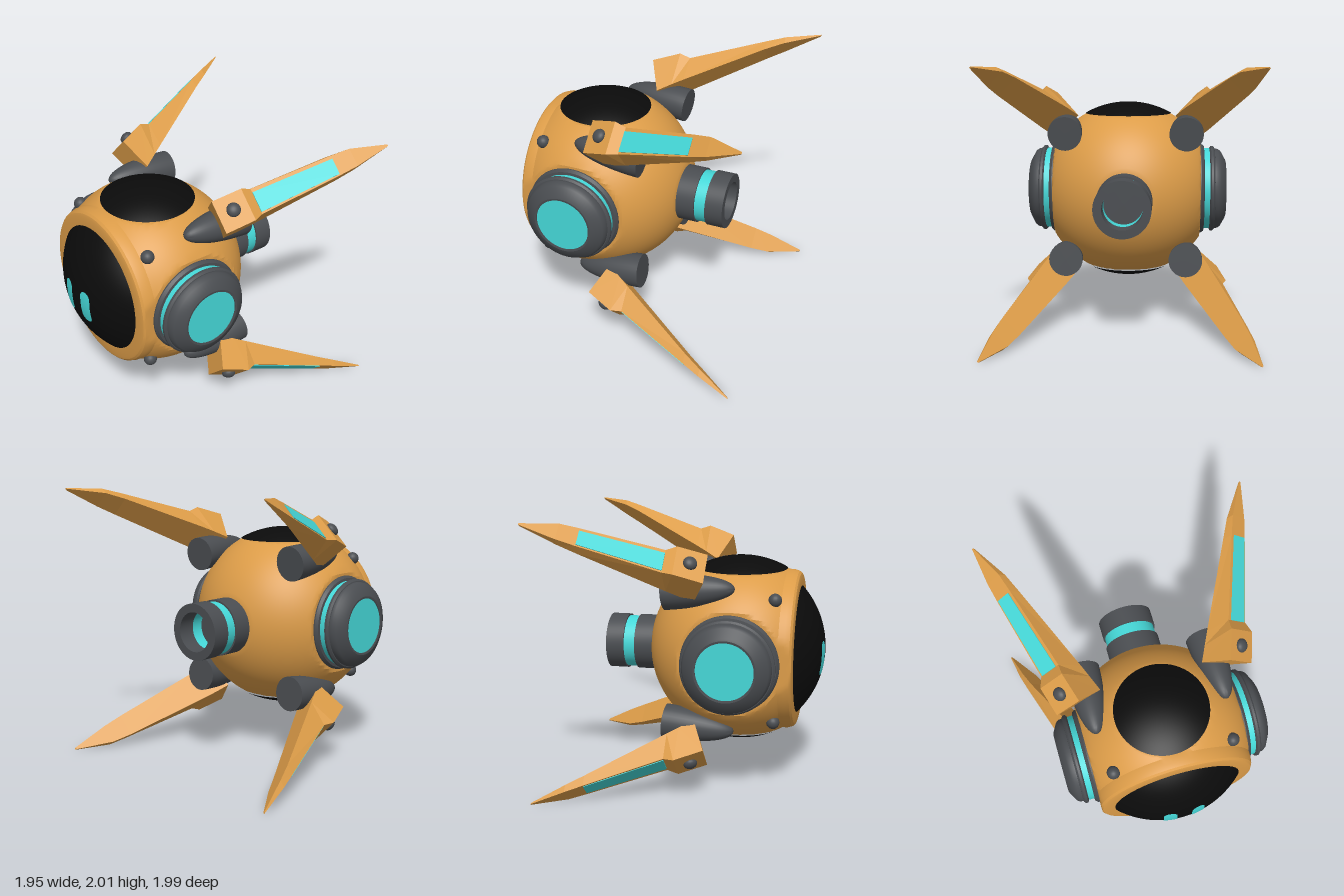
import * as THREE from 'three';
import { toCreasedNormals } from 'three/addons/utils/BufferGeometryUtils.js';

const mat = (name, color) => {
  const m = new THREE.MeshStandardMaterial({ color });
  m.name = name;
  return m;
};
const CZ = 0.36; // body centre, with y = 1

// Surface of revolution about y from [radius, height] points, rising
const lathe = (pts, seg = 64) =>
  toCreasedNormals(new THREE.LatheGeometry(pts.map((p) => new THREE.Vector2(...p)), seg), 0.5);

// Baked reflection, keeping triangles facing outward
function mirrored(geo, sx, sy) {
  const g = geo.index ? geo.toNonIndexed() : geo.clone();
  g.translate(0, -1, 0).scale(sx, sy, 1).translate(0, 1, 0);
  if (sx * sy < 0) {
    for (const a of [g.attributes.position, g.attributes.normal]) {
      for (let i = 0; i < a.count; i += 3) {
        for (let k = 0; k < 3; k++) {
          const t = a.array[(i + 1) * 3 + k];
          a.array[(i + 1) * 3 + k] = a.array[(i + 2) * 3 + k];
          a.array[(i + 2) * 3 + k] = t;
        }
      }
    }
  }
  return g;
}

// Loft of four-sided sections: outer z, outer height, outer half width, then the same for the inner edge
function loft(stations, centre) {
  const pos = [], idx = [];
  stations.forEach(([zo, uo, wo, zi, ui, wi], s) => {
    const c = centre + (s === 5 ? 0.02 : 0);
    pos.push(c + wi, ui, zi, c + wo, uo, zo, c - wo, uo, zo, c - wi, ui, zi);
    if (s === 0) return;
    for (let j = 0; j < 4; j++) {
      const a = (s - 1) * 4 + j, b = (s - 1) * 4 + ((j + 1) % 4);
      idx.push(a, a + 4, b, b, a + 4, b + 4);
    }
  });
  const e = (stations.length - 1) * 4;
  idx.push(0, 1, 2, 0, 2, 3, e, e + 2, e + 1, e, e + 3, e + 2);
  const g = new THREE.BufferGeometry();
  g.setAttribute('position', new THREE.Float32BufferAttribute(pos, 3));
  g.setIndex(idx);
  const flat = g.toNonIndexed();
  flat.computeVertexNormals();
  return flat;
}

export function createModel() {
  const orange = mat('orange shell', 0xdc9c48);
  const cyan = mat('cyan glow', 0x45d8d8);
  const dark = mat('dark grey', 0x4a4d51);
  const black = mat('black glass', 0x0b0b0b);
  const model = new THREE.Group();
  const add = (name, geo, material, parent = model) => {
    const m = new THREE.Mesh(geo, material);
    m.name = name;
    parent.add(m);
    return m;
  };

  // Shell: sphere with a front rim, cut flat at the sides, top and bottom
  const R = 0.685;
  const profile = [[0, -0.65]];
  const a0 = Math.asin(-0.65 / R), a1 = Math.asin(0.34 / R);
  for (let i = 0; i <= 40; i++) {
    const a = a0 + ((a1 - a0) * i) / 40;
    profile.push([R * Math.cos(a), R * Math.sin(a)]);
  }
  profile.push([0.592, 0.385], [0.58, 0.42], [0.565, 0.434], [0.545, 0.44], [0.472, 0.44], [0.47, 0.4]);
  let shell = new THREE.LatheGeometry(profile.map((p) => new THREE.Vector2(...p)), 120);
  shell.rotateX(Math.PI / 2);
  const sp = shell.attributes.position;
  for (let i = 0; i < sp.count; i++) {
    sp.setX(i, THREE.MathUtils.clamp(sp.getX(i), -0.57, 0.57));
    sp.setY(i, THREE.MathUtils.clamp(sp.getY(i), -0.595, 0.595));
  }
  shell = toCreasedNormals(shell, 0.4).translate(0, 1, CZ);
  add('shell', shell, orange);

  // Black domes: face, crown and underside
  const FR = 0.689, FZ = 0.3;
  const dome = (r, open) =>
    new THREE.SphereGeometry(r, 64, 20, 0, Math.PI * 2, 0, Math.asin(open / r));
  add('faceDome', dome(FR, 0.477).rotateX(Math.PI / 2).translate(0, 1, FZ), black);
  const crown = dome(0.688, 0.338).translate(0, 1.003, CZ - 0.004);
  add('crownDome', crown, black);
  add('undersideDome', mirrored(crown, 1, -1), black);

  // Eyes: rounded bars laid on the face dome
  for (const s of [1, -1]) {
    const eye = new THREE.PlaneGeometry(2, 2, 8, 40);
    const p = eye.attributes.position;
    const half = 0.128, r = 0.049;
    for (let i = 0; i < p.count; i++) {
      const y = half * Math.sin((p.getY(i) * Math.PI) / 2);
      const over = Math.max(0, Math.abs(y) - (half - r));
      const x = s * 0.105 + p.getX(i) * Math.sqrt(Math.max(0, r * r - over * over));
      const Y = y - 0.037;
      p.setXYZ(i, x, 1 + Y, FZ + 0.004 + Math.sqrt(FR * FR - x * x - Y * Y));
    }
    eye.computeVertexNormals();
    add(s > 0 ? 'leftEye' : 'rightEye', eye, cyan);
  }

  // Side pods, built outward along x
  const podParts = [
    ['podCollar', [[0, 0.5], [0.35, 0.5], [0.355, 0.56], [0.355, 0.58], [0.34, 0.6], [0.3, 0.605]], dark],
    ['podGlowBand', [[0.32, 0.6], [0.32, 0.65]], cyan],
    ['podRing', [[0.3, 0.642], [0.325, 0.645], [0.338, 0.655], [0.338, 0.672], [0.325, 0.684], [0.3, 0.688]], dark],
    ['podCap', [[0.3, 0.68], [0.318, 0.685], [0.315, 0.71], [0.3, 0.732], [0.235, 0.768], [0.22, 0.774],
      [0.205, 0.772], [0.205, 0.755]], dark],
    ['podLens', [[0.207, 0.755], [0.207, 0.766], [0, 0.766]], cyan],
  ];
  for (const s of [1, -1]) {
    const pod = new THREE.Group();
    pod.name = s > 0 ? 'leftPod' : 'rightPod';
    model.add(pod);
    for (const [name, pts, m] of podParts) {
      add(name, mirrored(lathe(pts).rotateZ(-Math.PI / 2).translate(0, 1, CZ), s, 1), m, pod);
    }
  }

  // Rear thruster, built backward along z, hollow at the end
  const thruster = new THREE.Group();
  thruster.name = 'thruster';
  model.add(thruster);
  [
    ['thrusterBase', [[0.208, 0.25], [0.208, 0.43], [0.19, 0.43]], dark],
    ['thrusterGlowBand', [[0.195, 0.42], [0.195, 0.53]], cyan],
    ['thrusterNozzle', [[0.19, 0.515], [0.208, 0.515], [0.208, 0.65], [0.145, 0.65], [0.145, 0.52]], dark],
    ['thrusterInnerGlow', [[0.145, 0.52], [0.145, 0.43]], cyan],
    ['thrusterFloor', [[0.15, 0.43], [0, 0.43]], dark],
  ].forEach(([name, pts, m]) => add(name, lathe(pts).rotateX(-Math.PI / 2).translate(0, 1, 0), m, thruster));

  // Fin parts for the upper left corner; local y points diagonally outward
  const place = (g) => g.rotateZ(-Math.PI / 4).translate(0, 1, 0);
  const blade = place(loft([
    [0.2, 0.925, 0.12, 0.1, 0.688, 0.12],
    [0.0, 1.015, 0.118, 0.0, 0.757, 0.12],
    [-0.08, 1.0, 0.095, -0.08, 0.81, 0.118],
    [-0.63, 1.243, 0.075, -0.63, 1.17, 0.088],
    [-0.76, 1.3, 0.066, -0.76, 1.248, 0.074],
    [-1.0, 1.396, 0.006, -0.995, 1.385, 0.008],
  ], -0.042));
  const panel = place(loft([
    [-0.08, 1.005, 0.074, -0.08, 0.998, 0.074],
    [-0.63, 1.248, 0.058, -0.63, 1.241, 0.058],
  ], -0.036));
  const stud = place(new THREE.SphereGeometry(0.05, 20, 14).scale(1, 0.7, 1)
    .rotateX(0.42).translate(-0.05, 0.975, 0.1));
  const bolt = new THREE.SphereGeometry(0.048, 20, 14).translate(0.435, 1.447, 0.66);

  // Bullet-shaped mount, flat at the rear
  const rear = new THREE.Vector3(0.455, 1.48, -0.13), tip = new THREE.Vector3(0.475, 1.525, 0.38);
  const axis = tip.clone().sub(rear);
  const bullet = [[0, 0]];
  for (let i = 0; i <= 14; i++) {
    const a = (i / 14) * Math.PI / 2;
    bullet.push([0.128 * Math.cos(a), axis.length() * Math.sin(a)]);
  }
  const mount = lathe(bullet, 32).applyQuaternion(
    new THREE.Quaternion().setFromUnitVectors(new THREE.Vector3(0, 1, 0), axis.clone().normalize()),
  ).translate(rear.x, rear.y, rear.z);

  // Repeat the fin set at all four corners
  for (const sx of [1, -1]) {
    for (const sy of [1, -1]) {
      const fin = new THREE.Group();
      fin.name = (sy > 0 ? 'upper' : 'lower') + (sx > 0 ? 'Left' : 'Right') + 'Fin';
      model.add(fin);
      add('finBlade', mirrored(blade, sx, sy), orange, fin);
      add('finPanel', mirrored(panel, sx, sy), cyan, fin);
      add('finStud', mirrored(stud, sx, sy), dark, fin);
      add('finMount', mirrored(mount, sx, sy), dark, fin);
      add('shellBolt', mirrored(bolt, sx, sy), dark, fin);
    }
  }
  return model;
}
